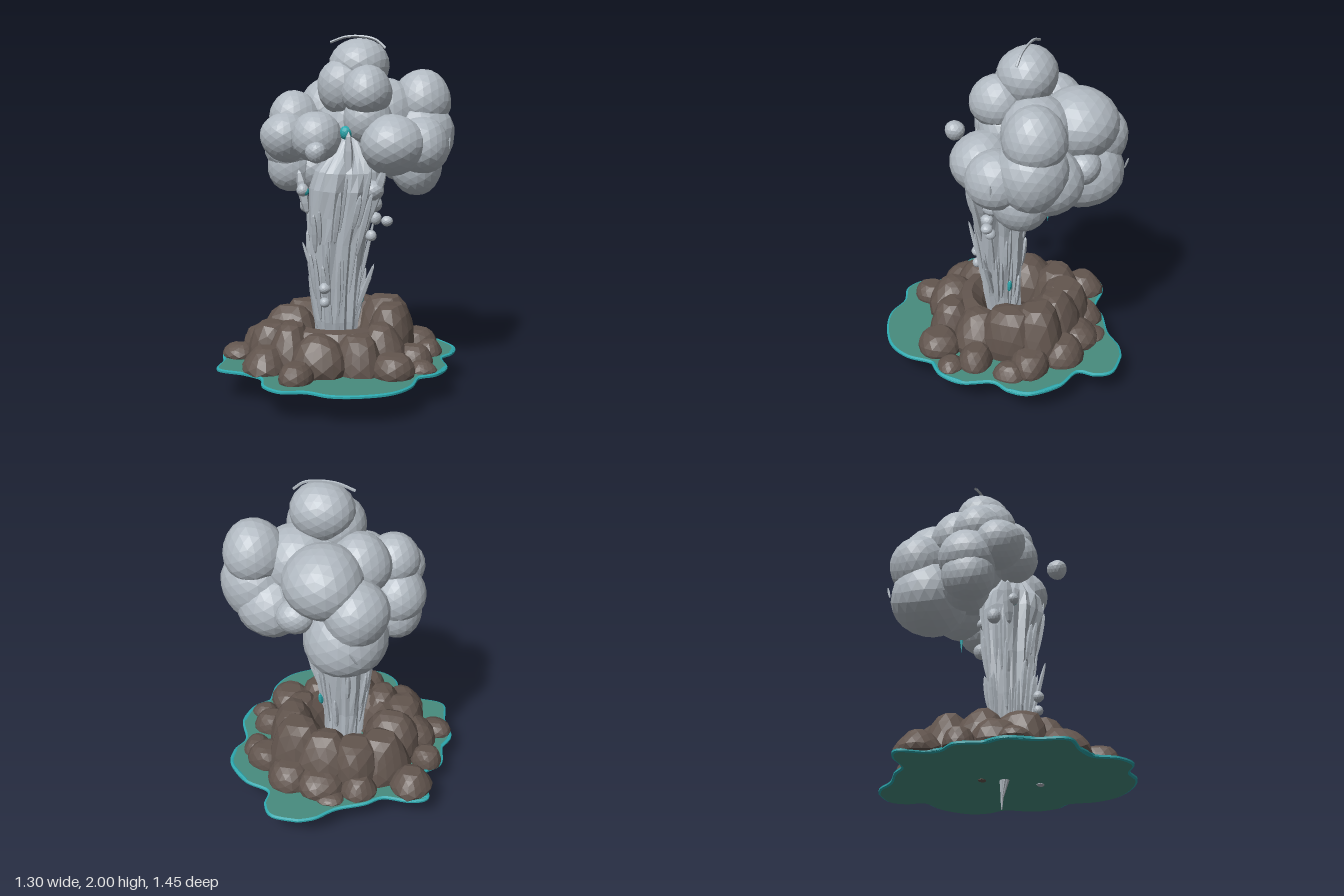
import * as THREE from 'three';
import { mergeVertices } from 'three/addons/utils/BufferGeometryUtils.js';

const flat = (name, color, extra = {}) => {
  const m = new THREE.MeshStandardMaterial({ color, flatShading: true, ...extra });
  m.name = name;
  return m;
};

// small seeded random generator
function seeded(seed) {
  let s = seed;
  return () => (s = (s * 16807) % 2147483647) / 2147483647;
}

// faceted ball with soft lumps
function lumpyBall(r, detail, lump, seed) {
  let g = new THREE.IcosahedronGeometry(1, detail);
  g.deleteAttribute('uv');
  g.deleteAttribute('normal');
  g = mergeVertices(g, 1e-4);
  const p = g.attributes.position, v = new THREE.Vector3();
  for (let i = 0; i < p.count; i++) {
    v.fromBufferAttribute(p, i);
    const n = Math.sin(v.x * 3.1 + seed * 1.7) + Math.sin(v.y * 3.7 + seed * 2.3) + Math.sin(v.z * 3.3 + seed * 0.9);
    v.multiplyScalar(r * (1 + lump * n / 3));
    p.setXYZ(i, v.x, v.y, v.z);
  }
  g.computeVertexNormals();
  return g;
}

export function createModel() {
  const root = new THREE.Group();
  const steam = flat('steam grey', 0xb0b8c0, { side: THREE.DoubleSide });
  const rock = flat('brown rock', 0x62554e, { side: THREE.DoubleSide });
  const water = flat('pool green', 0x478c7e);
  const rim = flat('rim teal', 0x2ca8ae);

  const add = (parent, name, geo, mat, x = 0, y = 0, z = 0) => {
    const m = new THREE.Mesh(geo, mat);
    m.name = name;
    m.position.set(x, y, z);
    parent.add(m);
    return m;
  };
  const group = (name) => {
    const g = new THREE.Group();
    g.name = name;
    root.add(g);
    return g;
  };

  // pool: wavy sheet with a teal edge
  const outline = [
    [0.12, -0.72], [0.27, -0.71], [0.33, -0.63], [0.34, -0.52], [0.49, -0.46], [0.61, -0.33], [0.62, -0.21],
    [0.58, -0.1], [0.64, 0.06], [0.61, 0.2], [0.53, 0.28], [0.52, 0.44], [0.45, 0.57], [0.31, 0.66],
    [0.16, 0.7], [0.02, 0.675], [-0.11, 0.71], [-0.22, 0.65], [-0.28, 0.53], [-0.4, 0.48], [-0.56, 0.45],
    [-0.59, 0.29], [-0.64, 0.15], [-0.6, 0.05], [-0.61, -0.1], [-0.53, -0.19], [-0.52, -0.27], [-0.57, -0.4],
    [-0.48, -0.45], [-0.32, -0.45], [-0.22, -0.52], [-0.07, -0.59], [0.03, -0.68],
  ].map(([x, z]) => new THREE.Vector2(x, -z));
  const shape = new THREE.Shape();
  shape.moveTo(outline[0].x, outline[0].y);
  shape.splineThru([...outline.slice(1), outline[0]]);
  const poolGeo = new THREE.ExtrudeGeometry(shape, {
    depth: 0.01, bevelEnabled: true, bevelThickness: 0.005, bevelSize: 0.012, bevelOffset: -0.004,
    bevelSegments: 1, curveSegments: 110,
  });
  poolGeo.rotateX(-Math.PI / 2);
  add(root, 'pool', poolGeo, [water, rim], 0, 0.161, 0);

  // raised teal lips along stretches of the shore
  [[4, 6], [8, 10], [18, 19], [21, 23], [24, 26], [27, 28]].forEach(([a, b]) => {
    const pts = outline.slice(a, b + 1).map((p) => new THREE.Vector3(p.x * 0.995, 0, -p.y * 0.995));
    const g = new THREE.TubeGeometry(new THREE.CatmullRomCurve3(pts), 14, 0.014, 6);
    g.scale(1, 0.7, 1);
    add(root, 'shoreLip', g, rim, 0, 0.169, 0);
  });

  // pebble and spray showing through the underside of the pool
  [[-0.03, -0.1, rock], [0.115, 0.19, steam]].forEach(([x, z, mat]) => {
    const m = add(root, 'undersidePatch', new THREE.CylinderGeometry(0.03, 0.03, 0.005, 9), mat, x, 0.155, z);
    m.scale.z = 0.7;
  });

  // crater wall under the boulders
  const wall = [[0.42, 0.17], [0.38, 0.27], [0.31, 0.37], [0.25, 0.38], [0.19, 0.32], [0.12, 0.2]]
    .map(([r, y]) => new THREE.Vector2(r, y)).reverse();
  add(root, 'craterWall', new THREE.LatheGeometry(wall, 20), rock, -0.02, 0, -0.02);

  // boulders: x, z, radius, top height
  const rocks = group('boulders');
  [
    [-0.46, -0.33, 0.115, 0.29], [-0.52, -0.1, 0.085, 0.27], [-0.54, 0.19, 0.085, 0.25], [-0.31, 0.38, 0.13, 0.3],
    [-0.08, 0.53, 0.1, 0.27], [0, 0.35, 0.14, 0.39], [0.19, 0.28, 0.13, 0.38], [0.39, 0.29, 0.12, 0.29],
    [0.53, 0.17, 0.07, 0.23], [0.45, 0.05, 0.1, 0.28], [-0.42, 0.07, 0.13, 0.34], [-0.2, 0.25, 0.14, 0.41],
    [-0.33, 0.17, 0.14, 0.39], [-0.3, -0.04, 0.15, 0.44], [-0.27, -0.22, 0.16, 0.43], [-0.12, -0.3, 0.15, 0.43],
    [0.06, -0.28, 0.16, 0.46], [0.21, -0.23, 0.17, 0.48], [0.28, -0.1, 0.14, 0.47], [0.28, 0.08, 0.14, 0.4],
    [0.24, -0.41, 0.12, 0.3], [0.05, -0.44, 0.12, 0.29], [-0.17, -0.42, 0.1, 0.28], [0.41, -0.26, 0.11, 0.29],
    [-0.02, -0.51, 0.07, 0.21], [0.49, -0.17, 0.08, 0.25],
  ].forEach(([x, z, r, top], i) => {
    const g = lumpyBall(1, 2, 0.16, i + 1);
    const p = g.attributes.position;
    // blunt tapering crown, bulging sides, flat foot
    for (let k = 0; k < p.count; k++) {
      const y = THREE.MathUtils.clamp(p.getY(k), -0.25, 0.85);
      const w = 1.08 - 0.16 * Math.max(0, y);
      p.setXYZ(k, p.getX(k) * r * w, ((y + 0.25) / 1.1) * (top - 0.168), p.getZ(k) * r * w);
    }
    add(rocks, 'boulder', g, rock, x, 0.168, z);
  });

  // spray column: ridged stem flaring upward and ending in a ragged spire
  const profile = [[0, 0.004], [0.06, 0.008], [0.16, 0.028], [0.22, 0.105], [0.4, 0.118], [0.6, 0.135], [0.85, 0.155],
    [1.0, 0.168], [1.15, 0.185], [1.25, 0.17], [1.34, 0.11], [1.42, 0.06], [1.46, 0.005]];
  const sides = 30, rows = profile.length - 1, depth = 0.88;
  const stem = new THREE.CylinderGeometry(1, 1, 1, sides, rows, true);
  const sp = stem.attributes.position;
  const axisAt = (y) => [0.07 * THREE.MathUtils.smoothstep(y, 0.7, 1.4), 0.05 * THREE.MathUtils.smoothstep(y, 0, 0.4)];
  for (let i = 0; i < sp.count; i++) {
    const row = rows - Math.floor(i / (sides + 1)), col = (i % (sides + 1)) % sides;
    const [y, r] = profile[row];
    const a = (col / sides) * Math.PI * 2;
    const ridge = 1 + 0.09 * Math.sin(col * 2.4 + row * 0.25) + 0.06 * Math.sin(col * 4.7 + row * 0.9);
    const [cx, cz] = axisAt(y);
    sp.setXYZ(i, cx + Math.sin(a) * r * ridge, y, cz + Math.cos(a) * r * ridge * depth);
  }
  add(root, 'sprayColumn', stem, steam);

  // long slivers of spray around the column
  const spray = group('spraySlivers');
  const sliver = (a, b, r, mat = steam) => {
    const A = new THREE.Vector3(...a), B = new THREE.Vector3(...b);
    const g = new THREE.SphereGeometry(1, 5, 6);
    g.scale(r, A.distanceTo(B) / 2, r);
    const m = add(spray, 'sliver', g, mat);
    m.position.lerpVectors(A, B, 0.5);
    m.quaternion.setFromUnitVectors(new THREE.Vector3(0, 1, 0), B.sub(A).normalize());
  };
  const rand = seeded(77);
  for (let i = 0; i < 44; i++) {
    const a = i * 2.4, y0 = 0.3 + rand() * 0.65, y1 = y0 + 0.2 + rand() * 0.22;
    const at = (y, k) => {
      const [cx, cz] = axisAt(y), r = (0.085 + 0.088 * y) * k;
      return [cx + Math.sin(a) * r, y, cz + Math.cos(a) * r * depth];
    };
    sliver(at(y0, 0.98), at(y1, 1.06 + rand() * 0.1), 0.008 + rand() * 0.012);
  }
  sliver([0.11, 0.42, 0.06], [0.23, 0.74, 0.08], 0.016);
  sliver([0.14, 0.55, 0.06], [0.21, 0.66, 0.07], 0.014);
  sliver([-0.12, 0.62, 0.06], [-0.19, 0.84, 0.08], 0.012);
  sliver([0, 0.5, 0.17], [0, 0.82, 0.25], 0.013);
  sliver([0.1, 1.05, 0.16], [0.1, 1.48, 0.15], 0.03);
  sliver([0.18, 0.95, 0.08], [0.3, 1.3, 0.1], 0.03);
  sliver([-0.16, 1.0, 0.08], [-0.21, 1.25, 0.08], 0.03);
  sliver([-0.19, 1.22, -0.61], [-0.15, 1.31, -0.64], 0.007);
  sliver([0.6, 1.35, -0.11], [0.61, 1.44, -0.11], 0.007);
  sliver([0.12, 0.47, -0.04], [0.13, 0.55, -0.05], 0.015, rim);

  // billowing cloud: x, y, z, radius
  const cloud = group('cloud');
  [
    [0.08, 1.82, -0.13, 0.165], [0.16, 1.69, 0.01, 0.145], [0.01, 1.71, -0.08, 0.16], [0.03, 1.56, -0.4, 0.21],
    [-0.09, 1.25, -0.41, 0.225], [-0.15, 1.42, -0.45, 0.18], [-0.28, 1.54, -0.07, 0.145], [-0.1, 1.44, 0.1, 0.14],
    [-0.3, 1.43, 0.05, 0.145], [-0.32, 1.36, -0.12, 0.16], [-0.31, 1.25, -0.12, 0.15], [-0.21, 1.23, -0.16, 0.14],
    [0.41, 1.63, -0.28, 0.17], [0.41, 1.43, -0.26, 0.2], [0.32, 1.4, 0.04, 0.175], [0.45, 1.39, -0.08, 0.16],
    [0.4, 1.25, -0.2, 0.155], [0.32, 1.35, -0.3, 0.2], [0.2, 1.56, -0.22, 0.2], [0.06, 1.47, -0.2, 0.25],
    [-0.13, 1.58, -0.22, 0.17], [0.16, 1.53, -0.02, 0.14], [0.16, 1.38, -0.46, 0.1],
  ].forEach(([x, y, z, r], i) => add(cloud, 'cloudPuff', lumpyBall(r, 3, 0.07, i + 3), steam, x, y, z));

  // flung droplets: x, y, z, radius
  const drops = group('droplets');
  [
    [-0.03, 1.38, 0.33, 0.057], [-0.18, 1.14, 0.1, 0.036], [-0.19, 1.04, 0.0, 0.04], [0.22, 1.15, 0.09, 0.06],
    [0.21, 1.07, 0.03, 0.05], [0.23, 0.99, 0.05, 0.035], [0.29, 0.975, 0.03, 0.032], [0.2, 0.89, 0.04, 0.032],
    [0.13, 0.98, -0.15, 0.045], [-0.02, 0.61, 0.21, 0.032], [-0.02, 0.53, 0.21, 0.028], [-0.14, 1.17, -0.12, 0.05],
    [0.02, 1.1, -0.11, 0.035],
  ].forEach(([x, y, z, r], i) => add(drops, 'droplet', lumpyBall(r, 2, 0.1, i), steam, x, y, z));

  // teal glints of water in the spray
  add(drops, 'waterGlint', lumpyBall(0.038, 2, 0.1, 5), rim, 0.065, 1.465, 0.075);
  add(drops, 'waterBead', lumpyBall(0.025, 2, 0.1, 2), rim, -0.167, 1.135, 0.105);
  const drip = add(drops, 'waterDrip', new THREE.ConeGeometry(0.01, 0.08, 5), rim, 0.1, 1.01, -0.26);
  drip.rotation.x = Math.PI;

  // thin wisp curling over the top
  const wisp = new THREE.CatmullRomCurve3([[-0.09, 1.955, -0.14], [0, 1.985, -0.135], [0.1, 1.988, -0.13],
    [0.18, 1.97, -0.125], [0.235, 1.925, -0.12]].map((p) => new THREE.Vector3(...p)));
  add(root, 'topWisp', new THREE.TubeGeometry(wisp, 16, 0.008, 5), steam);
  return root;
}
